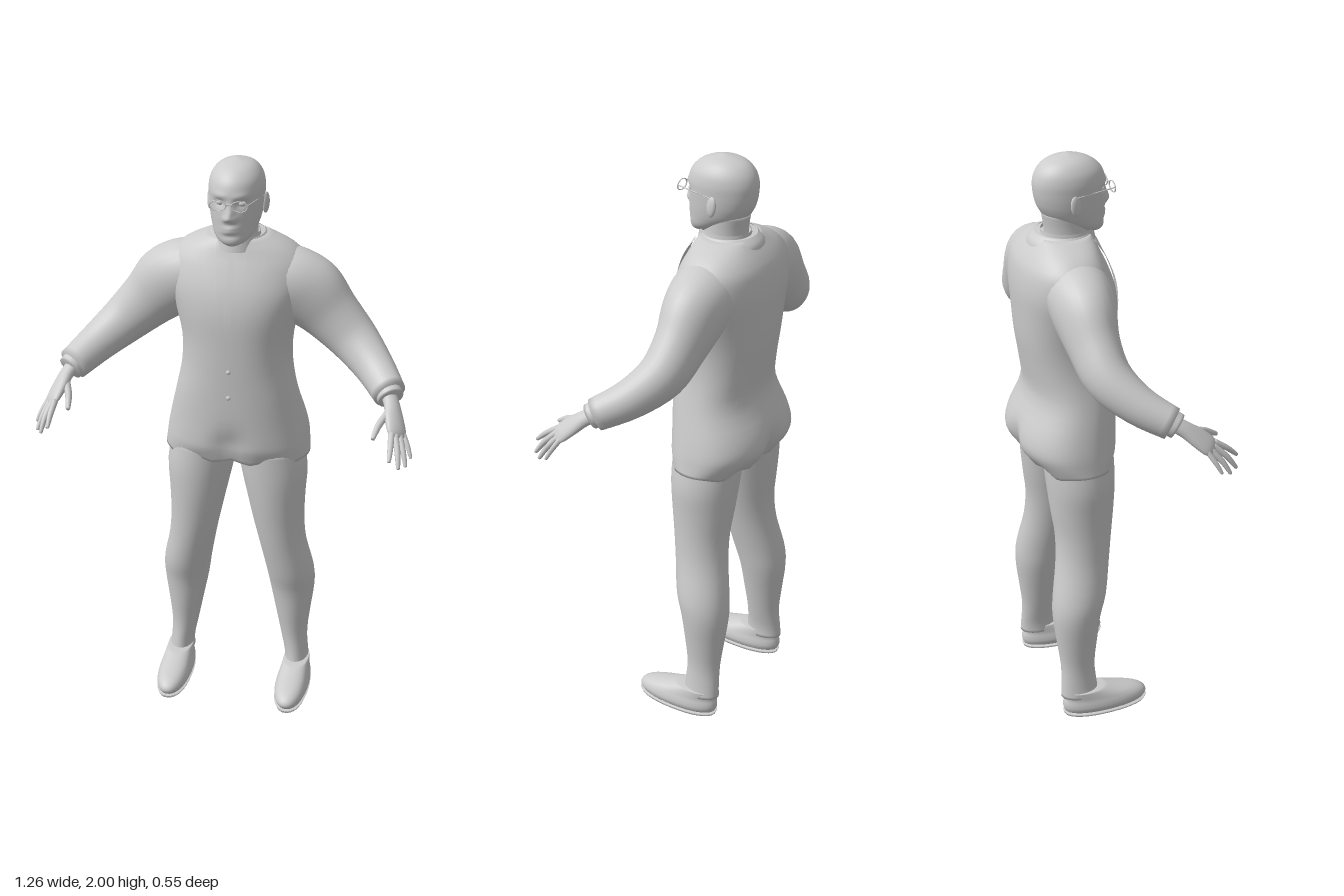
import * as THREE from 'three';

const V = (x, y, z) => new THREE.Vector3(x, y, z);
const clay = new THREE.MeshStandardMaterial({ color: 0xcccccc, side: THREE.DoubleSide });
clay.name = 'light grey';
const gauss = (d, w) => Math.exp(-(d * d) / (w * w));

// Skin a list of closed rings (arrays of Vector3), optionally capping both ends
function loft(rings, caps = true) {
  const n = rings[0].length, m = rings.length, idx = [];
  const pts = rings.flat();
  for (let j = 0; j < m - 1; j++) for (let i = 0; i < n; i++) {
    const k = (i + 1) % n, a = j * n + i, b = j * n + k, c = b + n, d = a + n;
    idx.push(a, b, c, a, c, d);
  }
  if (caps) for (const end of [0, m - 1]) {
    const c = pts.length, mid = V(0, 0, 0);
    rings[end].forEach(p => mid.addScaledVector(p, 1 / n));
    pts.push(mid);
    for (let i = 0; i < n; i++) {
      const a = end * n + i, b = end * n + (i + 1) % n;
      end ? idx.push(c, a, b) : idx.push(c, b, a);
    }
  }
  const g = new THREE.BufferGeometry().setFromPoints(pts);
  g.setIndex(idx);
  g.computeVertexNormals();
  return g;
}

// Catmull-Rom subdivision of a table of cross-section values
function smooth(rows, steps) {
  const out = [], last = rows.length - 1;
  for (let i = 0; i < last; i++) for (let s = 0; s < steps; s++) {
    const t = s / steps, [p, q, r, w] = [-1, 0, 1, 2].map(o => rows[Math.min(last, Math.max(0, i + o))]);
    out.push(q.map((v, c) => v + 0.5 * t * (r[c] - p[c] + t * (2 * p[c] - 5 * v + 4 * r[c] - w[c]
      + t * (3 * (v - r[c]) + w[c] - p[c])))));
  }
  out.push(rows[last]);
  return out;
}

// Horizontal sections [y, centreX, halfWidth, frontZ, backZ]; rule moves each point
function body(rows, { steps = 3, n = 36, p = 1, rule = null, caps = true } = {}) {
  const pw = v => Math.sign(v) * Math.abs(v) ** p;
  return loft(smooth(rows, steps).map(([y, xc, hw, zf, zb]) => Array.from({ length: n }, (_, i) => {
    const a = i / n * Math.PI * 2;
    const q = V(xc + hw * pw(Math.sin(a)), y, (zf + zb) / 2 + (zf - zb) / 2 * pw(Math.cos(a)));
    if (rule) rule(q, Math.cos(a));
    return q;
  })), caps);
}

// Limb along points [x, y, z, radius, radiusAlongHint]
function limb(rows, hint, { steps = 4, n = 20, caps = true } = {}) {
  const s = smooth(rows, steps), at = i => V(...s[Math.min(s.length - 1, Math.max(0, i))].slice(0, 3));
  return loft(s.map((r, i) => {
    const t = at(i + 1).sub(at(i - 1)).normalize();
    const v = hint.clone().addScaledVector(t, -hint.dot(t)).normalize(), u = v.clone().cross(t);
    return Array.from({ length: n }, (_, k) => {
      const a = k / n * Math.PI * 2;
      return at(i).addScaledVector(u, r[3] * Math.cos(a)).addScaledVector(v, r[4] * Math.sin(a));
    });
  }), caps);
}

const wire = (a, b, r) => new THREE.TubeGeometry(new THREE.LineCurve3(a, b), 1, r, 6);

export function createModel() {
  const model = new THREE.Group();
  const add = (name, geo) => {
    const mesh = new THREE.Mesh(geo, clay);
    mesh.name = name;
    model.add(mesh);
  };
  // Left part plus its mirror image
  const pair = (name, geo) => {
    const g = geo.clone().scale(-1, 1, 1), ix = g.index.array;
    for (let i = 0; i < ix.length; i += 3) [ix[i], ix[i + 1]] = [ix[i + 1], ix[i]];
    add(name + 'Left', geo);
    add(name + 'Right', g);
  };

  // Jacket
  const P = 0.88;
  const jacketRows = [
    [0.955, 0, 0.252, 0.035, -0.225], [1.0, 0, 0.248, 0.055, -0.265], [1.04, 0, 0.243, 0.06, -0.28],
    [1.1, 0, 0.23, 0.062, -0.267], [1.2, 0, 0.205, 0.065, -0.225], [1.3, 0, 0.186, 0.068, -0.235],
    [1.4, 0, 0.187, 0.07, -0.25], [1.5, 0, 0.21, 0.07, -0.256], [1.58, 0, 0.232, 0.056, -0.258],
    [1.65, 0, 0.228, 0.03, -0.248], [1.69, 0, 0.2, 0.012, -0.228], [1.72, 0, 0.155, 0.0, -0.205],
    [1.745, 0, 0.095, -0.01, -0.185]];
  add('jacket', body(jacketRows, {
    n: 56, p: P, rule: (q, c) => {
      const low = gauss(q.y - 1.02, 0.06);
      if (c < 0) q.z += 0.028 * low * gauss(q.x, 0.04);
      else q.z -= 0.02 * low * gauss(q.x, 0.05);
      q.y += 0.008 * Math.cos(q.x * 50) * gauss(q.y - 0.955, 0.02);
    }
  }));

  // Thin strips laid on the jacket front: rows of [y, innerX, outerX]
  const dense = smooth(jacketRows, 6);
  const frontZ = (x, y) => {
    const k = Math.max(1, dense.findIndex(r => r[0] >= y)), a = dense[k - 1], b = dense[k];
    const [, , hw, zf, zb] = a.map((v, c) => v + (b[c] - v) * (y - a[0]) / (b[0] - a[0]));
    const s = Math.min(1, (Math.abs(x) / hw) ** (1 / P));
    return (zf + zb) / 2 + (zf - zb) / 2 * Math.sqrt(1 - s * s) ** P;
  };
  const strip = (rows, lift) => {
    const cols = 4, s = smooth(rows, 4);
    const g = new THREE.PlaneGeometry(1, 1, cols, s.length - 1), pos = g.attributes.position;
    s.forEach(([y, x0, x1], j) => {
      for (let i = 0; i <= cols; i++) {
        const x = x0 + (x1 - x0) * i / cols;
        pos.setXYZ(j * (cols + 1) + i, x, y, frontZ(x, y) + lift);
      }
    });
    g.computeVertexNormals();
    return g;
  };
  pair('lapel', strip([[1.735, 0.055, 0.092], [1.7, 0.052, 0.11], [1.6, 0.042, 0.085], [1.5, 0.03, 0.062], [1.35, 0.012, 0.03]], 0.009));
  add('tie', strip([[1.735, -0.014, 0.014], [1.71, -0.009, 0.009], [1.5, -0.013, 0.013], [1.37, -0.012, 0.012], [1.35, -0.003, 0.003]], 0.006));
  for (const y of [1.31, 1.215]) {
    add('button', new THREE.SphereGeometry(0.008, 12, 8).scale(1, 1, 0.6).translate(0, y, frontZ(0, y) + 0.002));
  }

  // Collars and neck
  add('jacketCollar', body([[1.705, 0, 0.13, 0.005, -0.212], [1.73, 0, 0.108, 0.0, -0.205], [1.75, 0, 0.088, -0.005, -0.185]],
    { caps: false }));
  add('shirtCollar', body([[1.71, 0, 0.082, 0.015, -0.17], [1.757, 0, 0.074, 0.005, -0.165]], { caps: false }));
  add('neck', body([[1.7, 0, 0.07, -0.005, -0.155], [1.76, 0, 0.066, -0.01, -0.155], [1.82, 0, 0.068, -0.02, -0.165]]));

  // Head with sculpted nose, eye sockets, brow, lips and chin
  add('head', body([
    [1.738, 0, 0.022, 0.03, -0.02], [1.75, 0, 0.045, 0.04, -0.05], [1.77, 0, 0.064, 0.043, -0.095],
    [1.8, 0, 0.077, 0.044, -0.15], [1.83, 0, 0.084, 0.045, -0.174], [1.86, 0, 0.088, 0.045, -0.185],
    [1.89, 0, 0.09, 0.047, -0.19], [1.92, 0, 0.09, 0.045, -0.19], [1.95, 0, 0.083, 0.033, -0.18],
    [1.975, 0, 0.066, 0.007, -0.158], [1.99, 0, 0.043, -0.025, -0.126], [2.0, 0, 0.006, -0.068, -0.08]], {
    steps: 5, n: 72, rule: (q, c) => {
      if (c <= 0) return;
      const ax = Math.abs(q.x), y = q.y;
      q.z += 0.02 * gauss(q.x, 0.013) * gauss(y - 1.838, y > 1.838 ? 0.035 : 0.012)
        + 0.008 * gauss(ax - 0.015, 0.009) * gauss(y - 1.834, 0.01)
        - 0.011 * gauss(ax - 0.035, 0.02) * gauss(y - 1.882, 0.014)
        + 0.004 * gauss(ax - 0.035, 0.025) * gauss(y - 1.908, 0.009)
        + 0.007 * gauss(q.x, 0.022) * (gauss(y - 1.802, 0.006) + gauss(y - 1.789, 0.006))
        - 0.004 * gauss(q.x, 0.03) * gauss(y - 1.775, 0.008);
    }
  }));
  pair('eye', new THREE.SphereGeometry(0.013, 16, 12).scale(1.1, 0.75, 0.8).translate(0.035, 1.883, 0.024));
  pair('ear', new THREE.SphereGeometry(0.03, 16, 12).scale(0.3, 1.15, 0.65).rotateY(-0.3).rotateX(-0.15)
    .translate(0.092, 1.855, -0.082));

  // Glasses
  pair('glassesRim', new THREE.TorusGeometry(0.025, 0.0022, 6, 28).scale(1.05, 0.68, 1).translate(0.035, 1.884, 0.062));
  pair('glassesArm', wire(V(0.061, 1.889, 0.06), V(0.093, 1.884, -0.075), 0.0022));
  add('glassesBridge', wire(V(-0.01, 1.888, 0.063), V(0.01, 1.888, 0.063), 0.0022));

  // Sleeves and shirt cuffs
  const depth = V(0, 0, 1);
  pair('sleeve', limb([
    [0.12, 1.605, -0.105, 0.1, 0.11], [0.18, 1.585, -0.105, 0.115, 0.108], [0.24, 1.543, -0.108, 0.122, 0.098],
    [0.31, 1.475, -0.107, 0.1, 0.082], [0.39, 1.4, -0.09, 0.083, 0.075], [0.47, 1.335, -0.025, 0.067, 0.062],
    [0.535, 1.285, 0.062, 0.056, 0.052]], depth, { n: 28 }));
  pair('cuff', limb([[0.52, 1.297, 0.045, 0.046, 0.043], [0.541, 1.276, 0.078, 0.044, 0.041]], depth));

  // Hands: palm, four fingers and a thumb
  const spread = V(0.6, -0.2, -0.77);
  pair('palm', limb([
    [0.522, 1.294, 0.05, 0.026, 0.03], [0.545, 1.268, 0.094, 0.022, 0.028], [0.56, 1.237, 0.135, 0.02, 0.036],
    [0.574, 1.207, 0.17, 0.016, 0.038], [0.582, 1.192, 0.186, 0.007, 0.03]], spread));
  const digit = (name, a, b, c, r) => pair(name, limb([
    [...a, r, r], [...b, r * 0.92, r * 0.92], [...c, r * 0.6, r * 0.6],
    [...c.map((v, i) => v + (c[i] - b[i]) * 0.06), r * 0.15, r * 0.15]], spread, { n: 10 }));
  digit('indexFinger', [0.56, 1.21, 0.193], [0.564, 1.18, 0.238], [0.565, 1.15, 0.272], 0.0105);
  digit('middleFinger', [0.571, 1.205, 0.184], [0.586, 1.163, 0.228], [0.594, 1.122, 0.258], 0.0105);
  digit('ringFinger', [0.583, 1.2, 0.171], [0.602, 1.156, 0.207], [0.614, 1.117, 0.23], 0.01);
  digit('littleFinger', [0.592, 1.2, 0.156], [0.613, 1.162, 0.179], [0.626, 1.13, 0.195], 0.0085);
  digit('thumb', [0.54, 1.25, 0.125], [0.517, 1.228, 0.18], [0.506, 1.203, 0.226], 0.0125);

  // Trouser legs, from [y, innerX, outerX, frontZ, backZ]
  pair('trouserLeg', body([
    [0.075, 0.172, 0.262, -0.055, -0.192], [0.12, 0.172, 0.256, -0.062, -0.19], [0.2, 0.156, 0.252, -0.066, -0.188],
    [0.3, 0.136, 0.262, -0.055, -0.2], [0.4, 0.116, 0.274, -0.042, -0.211], [0.48, 0.103, 0.272, -0.02, -0.206],
    [0.6, 0.08, 0.246, 0.0, -0.186], [0.7, 0.058, 0.238, 0.013, -0.182], [0.8, 0.036, 0.24, 0.024, -0.194],
    [0.9, 0.014, 0.245, 0.03, -0.204], [1.0, 0.0, 0.23, 0.03, -0.21]
  ].map(([y, a, b, f, k]) => [y, (a + b) / 2, (b - a) / 2, f, k])));

  // Shoes and soles
  const X = 0.219;
  pair('shoe', body([
    [0.014, X, 0.054, 0.118, -0.18], [0.03, X, 0.06, 0.126, -0.186], [0.048, X, 0.058, 0.116, -0.186],
    [0.064, X, 0.053, 0.084, -0.182], [0.08, X, 0.049, 0.025, -0.182], [0.098, X, 0.045, -0.035, -0.18]], { p: 0.92 }));
  pair('sole', body([[0, X, 0.056, 0.122, -0.182], [0.011, X, 0.06, 0.128, -0.186]], { steps: 1, p: 0.9 }));

  return model;
}
